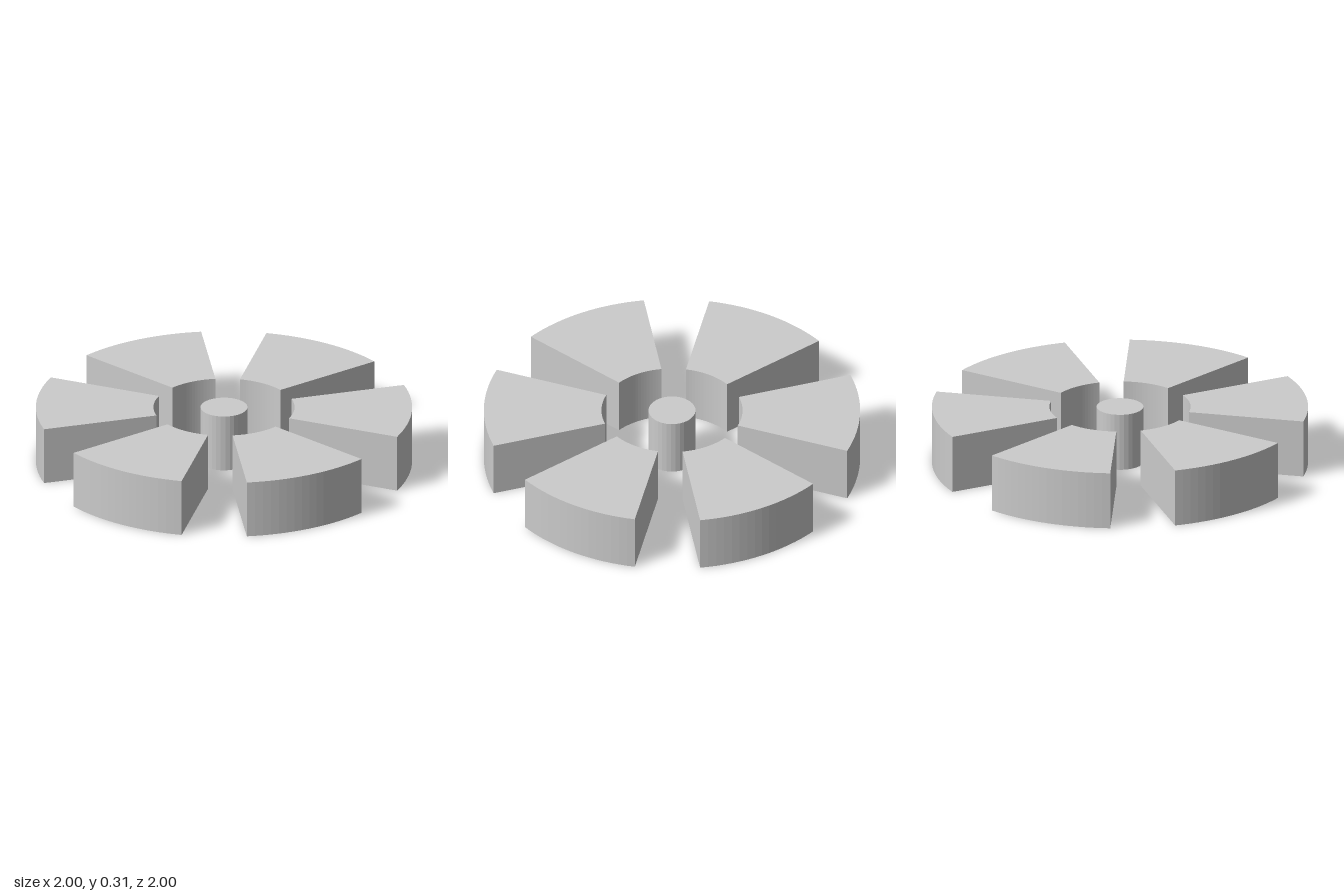
import * as THREE from 'three';

const HEIGHT = 0.3125;
const OUTER = 1;
const INNER = 0.375;
const HUB = 0.125;
const COUNT = 6;
const SWEEP = THREE.MathUtils.degToRad(40);

export function createModel() {
  const model = new THREE.Group();
  model.name = 'segmentedRing';
  const material = new THREE.MeshStandardMaterial({ color: 0xcccccc, flatShading: true });

  // Ring sector: outer arc out, inner arc back
  const sector = new THREE.Shape();
  sector.absarc(0, 0, OUTER, 0, SWEEP, false);
  sector.absarc(0, 0, INNER, SWEEP, 0, true);
  sector.closePath();
  const sectorGeometry = new THREE.ExtrudeGeometry(sector, {
    depth: HEIGHT, bevelEnabled: false, curveSegments: 8,
  });
  sectorGeometry.rotateX(-Math.PI / 2);

  // Six equal sectors around the centre
  for (let i = 0; i < COUNT; i++) {
    const segment = new THREE.Mesh(sectorGeometry, material);
    segment.name = `ringSegment${i + 1}`;
    segment.rotation.y = (i * Math.PI * 2) / COUNT;
    model.add(segment);
  }

  // Central pin
  const pin = new THREE.Mesh(new THREE.CylinderGeometry(HUB, HUB, HEIGHT, 32), material);
  pin.name = 'centrePin';
  pin.position.y = HEIGHT / 2;
  model.add(pin);

  return model;
}
